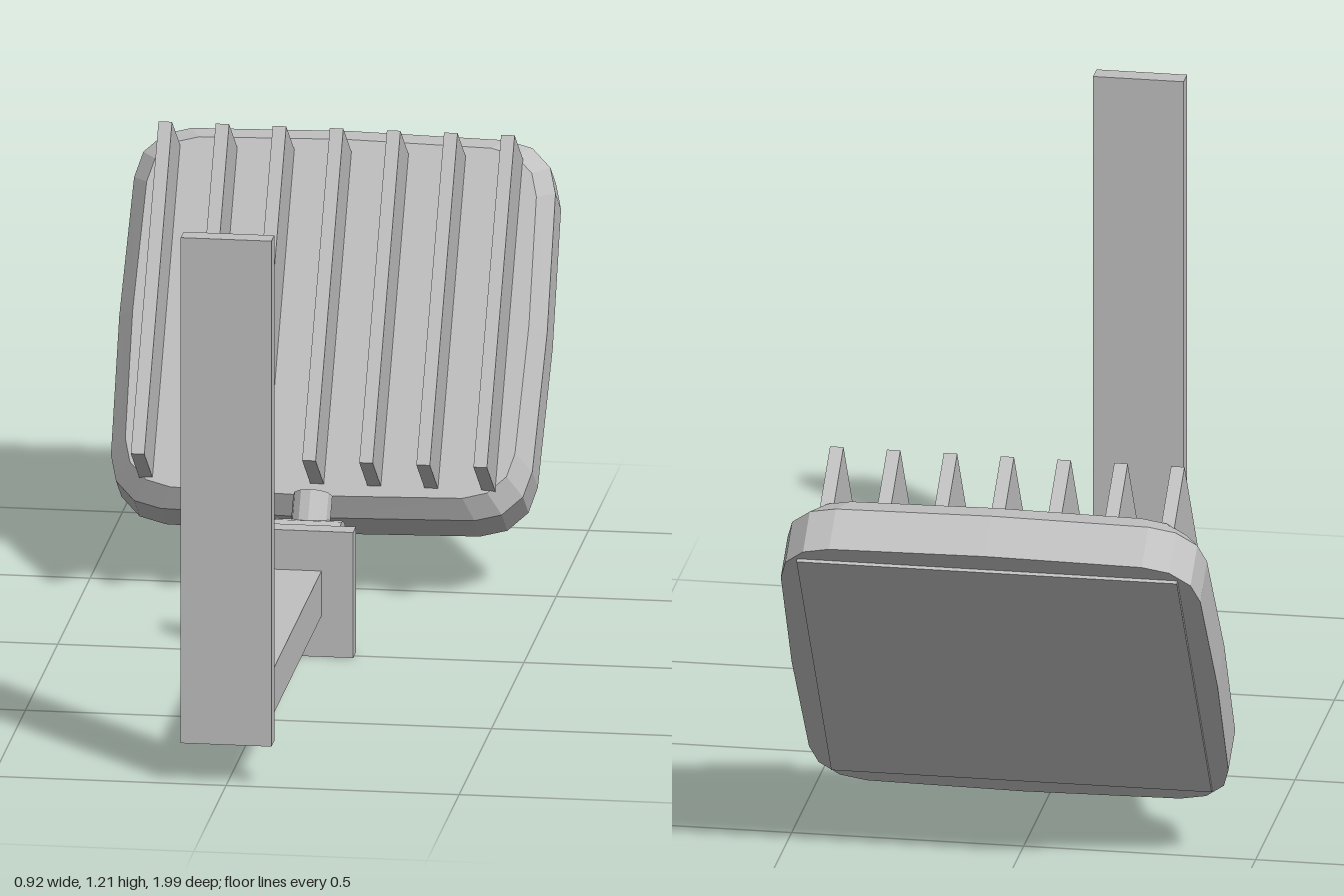
import * as THREE from 'three';

// Rounded-rectangle outline with slightly bowed sides, anticlockwise seen from +z.
function outline(halfW, halfH, radius, bow) {
  const points = [];
  const steps = 3;
  const cx = halfW - bow - radius;
  const cy = halfH - bow - radius;
  const signs = [[1, 1], [-1, 1], [-1, -1], [1, -1]];
  const mids = [[0, halfH], [-halfW, 0], [0, -halfH], [halfW, 0]];
  signs.forEach(([sx, sy], q) => {
    for (let i = 0; i <= steps; i++) {
      const a = (q + i / steps) * Math.PI / 2;
      points.push([sx * cx + radius * Math.cos(a), sy * cy + radius * Math.sin(a)]);
    }
    points.push(mids[q]);
  });
  return points;
}

// Closed solid skinned through rings ordered from back to front.
function loft(rings) {
  const pos = [];
  const tri = (a, b, c) => pos.push(...a, ...b, ...c);
  const n = rings[0].length;
  for (let r = 0; r < rings.length - 1; r++) {
    for (let i = 0; i < n; i++) {
      const j = (i + 1) % n;
      const a = rings[r][i], b = rings[r][j], c = rings[r + 1][j], d = rings[r + 1][i];
      tri(a, b, c);
      tri(a, c, d);
    }
  }
  const back = rings[0], front = rings[rings.length - 1];
  for (let i = 0; i < n; i++) {
    const j = (i + 1) % n;
    tri([0, 0, back[0][2]], back[j], back[i]);
    tri([0, 0, front[0][2]], front[i], front[j]);
  }
  const g = new THREE.BufferGeometry();
  g.setAttribute('position', new THREE.Float32BufferAttribute(pos, 3));
  g.computeVertexNormals();
  return g;
}

export function createModel() {
  const model = new THREE.Group();
  model.name = 'floodlight';
  const grey = new THREE.MeshStandardMaterial({ color: 0xc0c0c0, flatShading: true });
  grey.name = 'grey metal';

  const add = (parent, name, geometry, x, y, z) => {
    const mesh = new THREE.Mesh(geometry, grey);
    mesh.name = name;
    mesh.position.set(x, y, z);
    parent.add(mesh);
    return mesh;
  };
  const box = (parent, name, w, h, d, x, y, z) =>
    add(parent, name, new THREE.BoxGeometry(w, h, d), x, y, z);

  // Bracket: upright strip, arm and square mounting plate
  box(model, 'uprightStrip', 0.195, 1.12, 0.044, 0, 0.65, 0.978);
  box(model, 'arm', 0.136, 0.1, 0.96, 0, 0.14, 0.478);
  box(model, 'mountingPlate', 0.272, 0.278, 0.044, 0, 0.139, -0.006);

  // Swivel joint: shaft, knuckle and tilted neck
  const tilt = THREE.MathUtils.degToRad(-35);
  const knuckleY = 0.14, knuckleZ = -0.263;
  const shaftGeometry = new THREE.CylinderGeometry(0.056, 0.056, 0.24, 8);
  shaftGeometry.rotateY(Math.PI / 8).rotateX(Math.PI / 2);
  add(model, 'jointShaft', shaftGeometry, 0, 0.14, -0.14);
  const knuckle = add(model, 'jointKnuckle',
    new THREE.CylinderGeometry(0.077, 0.077, 0.145, 16), 0, knuckleY, knuckleZ);
  knuckle.rotation.z = Math.PI / 2;
  const joint = new THREE.Group();
  joint.name = 'neckPivot';
  joint.position.set(0, knuckleY, knuckleZ);
  joint.rotation.x = tilt;
  model.add(joint);
  add(joint, 'jointNeck', new THREE.CylinderGeometry(0.042, 0.042, 0.135, 12), 0, 0.0675, 0);

  // Lamp head: local +z is the finned side, local -z the lens
  const head = new THREE.Group();
  head.name = 'lampHead';
  head.position.set(0, 0.563, -0.619);
  head.rotation.x = tilt;
  model.add(head);

  const ring = (inset, z) =>
    outline(0.459 - inset, 0.434 - inset, 0.115 - inset * 0.3, 0.007).map(([x, y]) => [x, y, z]);
  add(head, 'housing', loft([ring(0, -0.15), ring(0, -0.045), ring(0.034, 0)]), 0, 0, 0);
  box(head, 'lens', 0.82, 0.77, 0.018, 0, 0, -0.149);

  // Cooling fins
  for (let i = -3; i <= 3; i++) {
    box(head, 'coolingFin', 0.029, 0.746, 0.165, i * 0.1225, 0, 0.0705);
  }
  return model;
}
